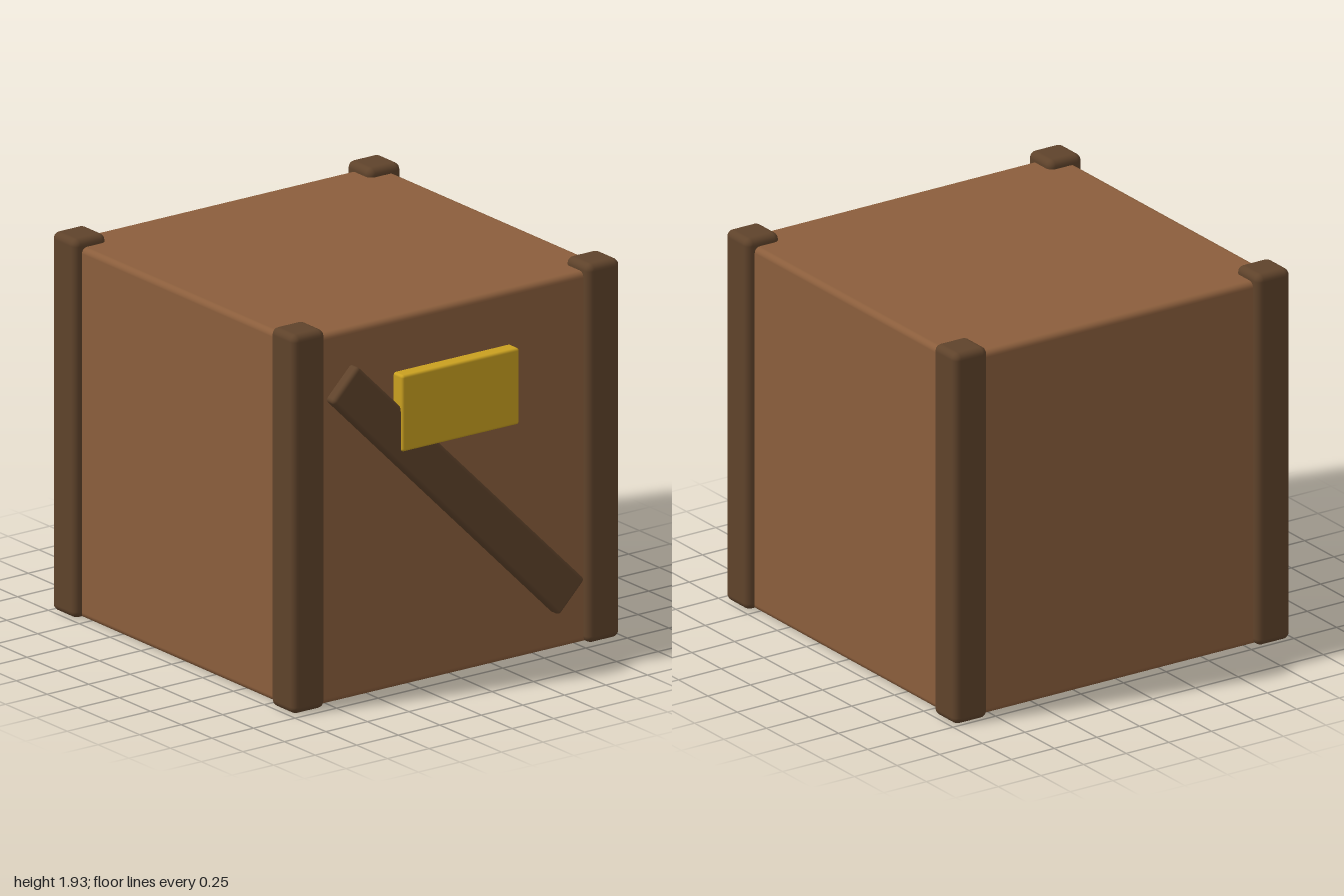
import * as THREE from 'three';
import { RoundedBoxGeometry } from 'three/addons/geometries/RoundedBoxGeometry.js';

export function createModel() {
  const crate = new THREE.Group();
  crate.name = 'crate';

  const mat = (name, color) => {
    const m = new THREE.MeshStandardMaterial({ color });
    m.name = name;
    return m;
  };
  const wood = mat('wood', 0x8b5e3c);
  const darkWood = mat('dark wood', 0x5f432b);
  const brass = mat('brass yellow', 0xc9a020);

  const block = (name, material, [w, h, d], [x, y, z], radius) => {
    const mesh = new THREE.Mesh(new RoundedBoxGeometry(w, h, d, 3, radius), material);
    mesh.name = name;
    mesh.position.set(x, y, z);
    crate.add(mesh);
    return mesh;
  };

  // Main box
  const midZ = -0.015;
  block('body', wood, [1.885, 1.893, 1.885], [0, 0.9465, midZ], 0.03);

  // Corner posts, slightly proud of the sides and top
  for (const sx of [1, -1]) {
    for (const sz of [1, -1]) {
      const name = (sz > 0 ? 'front' : 'back') + (sx > 0 ? 'Left' : 'Right') + 'Post';
      block(name, darkWood, [0.195, 1.935, 0.195], [sx * 0.8875, 0.9675, midZ + sz * 0.8875], 0.035);
    }
  }

  // Diagonal brace on the front
  const brace = block('diagonalBrace', darkWood, [1.935, 0.22, 0.09], [0, 0.95, 0.94], 0.02);
  brace.rotation.z = -Math.PI / 4;

  // Label plate over the brace
  block('labelPlate', brass, [0.705, 0.39, 0.09], [0, 1.42, 0.955], 0.014);

  return crate;
}
